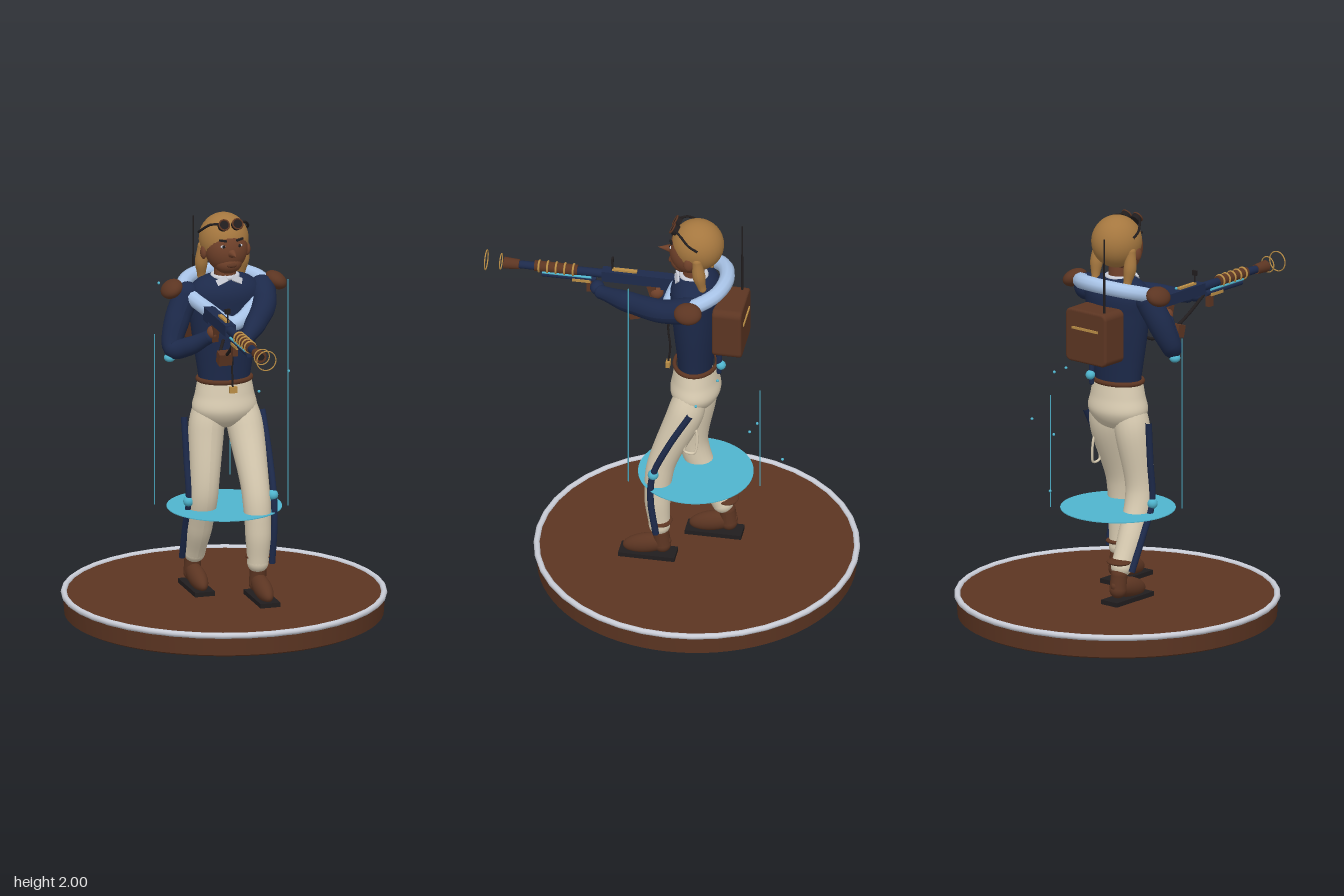
import * as THREE from 'three';

const mat = (name, color, side = THREE.FrontSide) => {
  const m = new THREE.MeshStandardMaterial({ color, side });
  m.name = name;
  return m;
};
const V = (p) => new THREE.Vector3(...p);

export function createModel() {
  const model = new THREE.Group();
  const brown = mat('leather brown', 0x5c3522), skin = mat('skin', 0x70412a), hairTan = mat('hair tan', 0xa5773f);
  const navy = mat('navy', 0x1d2a4b), cream = mat('cream', 0xd9ccb2), paleBlue = mat('pale blue', 0xa9c4e8);
  const cyan = mat('cyan', 0x4fb4cd, THREE.DoubleSide), dark = mat('near black', 0x211d1e);
  const gold = mat('brass', 0xb98d45), silver = mat('silver', 0xc9ccd6);

  const add = (name, geo, m, p = [0, 0, 0], r = [0, 0, 0], s = [1, 1, 1]) => {
    const mesh = new THREE.Mesh(geo, m);
    mesh.name = name;
    mesh.position.set(...p);
    mesh.rotation.set(...r);
    mesh.scale.set(...s);
    model.add(mesh);
    return mesh;
  };
  const ball = (name, m, p, s, r) => add(name, new THREE.SphereGeometry(1, 28, 20), m, p, r, s);
  const box = (name, m, p, s, r) => add(name, new THREE.BoxGeometry(...s), m, p, r);
  const ring = (name, m, p, radius, tube, r, s) => add(name, new THREE.TorusGeometry(radius, tube, 10, 40), m, p, r, s);
  // rod along z
  const rodZ = (name, m, x, y, z0, z1, r0, r1 = r0) =>
    add(name, new THREE.CylinderGeometry(r1, r0, z1 - z0, 20), m, [x, y, (z0 + z1) / 2], [Math.PI / 2, 0, 0]);
  const cord = (name, m, pts, r, closed = false) =>
    add(name, new THREE.TubeGeometry(new THREE.CatmullRomCurve3(pts.map(V), closed), 48, r, 10, closed), m);
  // tapering tube through points [x, y, z, radius], with round ends
  const limb = (name, m, pts) => {
    const curve = new THREE.CatmullRomCurve3(pts.map((p) => V(p.slice(0, 3))));
    const N = 32, R = 20, geo = new THREE.TubeGeometry(curve, N, 1, R);
    const pos = geo.attributes.position, v = new THREE.Vector3();
    for (let i = 0; i <= N; i++) {
      const c = curve.getPointAt(i / N), t = curve.getUtoTmapping(i / N) * (pts.length - 1);
      const k = Math.min(Math.floor(t), pts.length - 2);
      const f = THREE.MathUtils.smoothstep(t - k, 0, 1);
      const rad = THREE.MathUtils.lerp(pts[k][3], pts[k + 1][3], f);
      for (let j = 0; j <= R; j++) {
        const n = i * (R + 1) + j;
        v.fromBufferAttribute(pos, n).sub(c).multiplyScalar(rad).add(c);
        pos.setXYZ(n, v.x, v.y, v.z);
      }
    }
    geo.computeVertexNormals();
    add(name, geo, m);
    for (const p of [pts[0], pts[pts.length - 1]]) ball(name + 'End', m, p.slice(0, 3), [p[3], p[3], p[3]]);
  };
  // lathe squashed in depth
  const body = (name, m, prof, z, depth) =>
    add(name, new THREE.LatheGeometry(new THREE.SplineCurve(prof.map((p) => new THREE.Vector2(...p))).getPoints(30), 36), m, [0, 0, z], [0, 0, 0], [1, 1, depth]);

  // display base and floating disc
  add('base', new THREE.CylinderGeometry(0.775, 0.768, 0.1, 80), brown, [0, 0.06, -0.135]);
  add('baseFoot', new THREE.CylinderGeometry(0.768, 0.75, 0.01, 80), brown, [0, 0.005, -0.135]);
  ring('baseRim', silver, [0, 0.108, -0.135], 0.77, 0.015, [Math.PI / 2, 0, 0]);
  add('floatingDisc', new THREE.CylinderGeometry(0.278, 0.278, 0.004, 56), cyan, [0, 0.54, -0.13]);

  // trousers
  body('hips', cream, [[0.001, 0.93], [0.1, 0.96], [0.158, 1.03], [0.145, 1.11], [0.13, 1.19]], -0.13, 0.76);
  limb('leftLeg', cream, [[0.07, 1.1, -0.13, 0.07], [0.093, 0.95, -0.1, 0.087], [0.112, 0.63, 0.02, 0.068], [0.118, 0.45, 0.035, 0.063], [0.12, 0.29, 0.025, 0.052]]);
  limb('rightLeg', cream, [[-0.07, 1.1, -0.13, 0.07], [-0.09, 0.95, -0.13, 0.087], [-0.112, 0.63, -0.1, 0.07], [-0.115, 0.45, -0.16, 0.064], [-0.115, 0.29, -0.24, 0.052]]);

  // leg braces
  cord('leftBrace', navy, [[0.195, 1.0, -0.14], [0.196, 0.8, -0.03], [0.194, 0.62, 0.045], [0.194, 0.48, 0.055], [0.19, 0.28, 0.03]], 0.016);
  cord('rightBrace', navy, [[-0.2, 1.0, -0.14], [-0.194, 0.8, -0.12], [-0.188, 0.59, -0.1], [-0.186, 0.45, -0.16], [-0.178, 0.27, -0.24]], 0.016);
  ball('leftKneeJoint', cyan, [0.19, 0.625, 0.043], [0.026, 0.026, 0.026]);
  ball('rightKneeJoint', cyan, [-0.19, 0.587, -0.1], [0.026, 0.026, 0.026]);
  cord('sideLoop', cream, [[0.13, 0.87, -0.155], [0.14, 0.75, -0.1], [0.14, 0.745, -0.15]], 0.006, true);

  // boots
  for (const [side, x, z] of [['left', 0.123, 0], ['right', -0.118, -0.28]]) {
    box(side + 'Sole', dark, [x, 0.124, z + 0.08], [0.1, 0.022, 0.275]);
    ball(side + 'Foot', brown, [x, 0.178, z + 0.085], [0.044, 0.05, 0.122], [0.24, 0, 0]);
    limb(side + 'Ankle', brown, [[x, 0.18, z + 0.01, 0.042], [x, 0.25, z + 0.018, 0.04]]);
    ball(side + 'AnkleBand', brown, [x, 0.317, z + 0.015], [0.062, 0.015, 0.053]);
  }

  // jacket, belt and front cord
  body('jacket', navy, [[0.125, 1.17], [0.135, 1.24], [0.16, 1.4], [0.175, 1.53], [0.18, 1.62], [0.13, 1.68], [0.05, 1.705], [0.001, 1.71]], -0.13, 0.66);
  ring('belt', brown, [0, 1.182, -0.13], 0.13, 0.012, [Math.PI / 2, 0, 0], [1, 0.78, 1]);
  cord('frontCord', dark, [[0, 1.5, -0.005], [0, 1.36, 0.005], [0, 1.25, -0.005], [0, 1.165, 0.005]], 0.005);
  box('buckle', gold, [0.002, 1.155, 0.005], [0.038, 0.03, 0.02]);
  cord('scarf', paleBlue, [[-0.2, 1.64, -0.15], [-0.13, 1.57, -0.04], [0, 1.485, 0.005], [0.13, 1.57, -0.04], [0.2, 1.64, -0.15], [0.13, 1.67, -0.245], [0, 1.68, -0.28], [-0.13, 1.67, -0.245]], 0.037, true);

  // head and hair
  add('neck', new THREE.CylinderGeometry(0.05, 0.055, 0.12, 20), skin, [0, 1.71, -0.12]);
  ring('collar', silver, [0, 1.695, -0.12], 0.06, 0.012, [Math.PI / 2, 0, 0]);
  ball('face', skin, [0, 1.84, -0.1], [0.104, 0.122, 0.098]);
  ball('jaw', skin, [0, 1.775, -0.075], [0.07, 0.058, 0.068]);
  add('nose', new THREE.ConeGeometry(0.024, 0.07, 12), skin, [0, 1.832, 0.02], [Math.PI / 2, 0, 0]);
  ball('lips', brown, [0, 1.772, -0.008], [0.026, 0.01, 0.01]);
  ball('hair', hairTan, [0, 1.873, -0.14], [0.12, 0.128, 0.127]);
  for (const s of [1, -1]) {
    limb('hairLock', hairTan, [[s * 0.102, 1.84, -0.155, 0.024], [s * 0.105, 1.76, -0.165, 0.031], [s * 0.1, 1.685, -0.18, 0.02]]);
    ball('ear', skin, [s * 0.11, 1.82, -0.115], [0.015, 0.033, 0.024]);
    ball('eyeWhite', silver, [s * 0.04, 1.868, -0.016], [0.015, 0.008, 0.006]);
    ball('pupil', dark, [s * 0.04, 1.868, -0.011], [0.007, 0.008, 0.004]);
    box('brow', dark, [s * 0.042, 1.897, -0.017], [0.038, 0.009, 0.01], [0, s * 0.3, s * 0.15]);
    box('collarFlap', silver, [s * 0.038, 1.69, -0.045], [0.055, 0.03, 0.01], [-0.4, s * 0.4, s * -0.35]);
    // goggles
    add('goggleLens', new THREE.CylinderGeometry(0.026, 0.026, 0.028, 20), dark, [s * 0.034, 1.968, -0.035], [1.05, 0, 0]);
    ring('goggleRim', brown, [s * 0.034, 1.974, -0.023], 0.025, 0.004, [-0.5, 0, 0]);
    cord('goggleStrap', dark, [[s * 0.055, 1.975, -0.04], [s * 0.09, 1.965, -0.075], [s * 0.115, 1.935, -0.115], [s * 0.12, 1.91, -0.16]], 0.006);
    // shoulder guards
    ball('shoulderGuard', brown, [s * 0.262, 1.643, -0.14], [0.056, 0.04, 0.068], [0, 0, s * -0.6]);
  }

  // arms
  limb('leftArm', navy, [[0.19, 1.61, -0.13, 0.066], [0.16, 1.57, 0.0, 0.058], [0.06, 1.53, 0.18, 0.052], [-0.04, 1.5, 0.34, 0.034]]);
  ball('leftHand', navy, [-0.07, 1.505, 0.365], [0.04, 0.033, 0.035]);
  limb('rightArm', navy, [[-0.19, 1.61, -0.13, 0.065], [-0.24, 1.51, -0.11, 0.062], [-0.282, 1.37, -0.06, 0.048], [-0.22, 1.39, 0.0, 0.045], [-0.14, 1.45, 0.07, 0.034]]);
  ball('rightHand', skin, [-0.125, 1.475, 0.085], [0.03, 0.034, 0.034]);
  ball('elbowJoint', cyan, [-0.298, 1.325, -0.06], [0.027, 0.022, 0.027]);

  // long gun
  const gx = -0.12, gy = 1.555;
  rodZ('barrel', navy, gx, gy, 0.3, 0.77, 0.022, 0.019);
  rodZ('muzzle', brown, gx, gy, 0.755, 0.83, 0.024, 0.029);
  rodZ('muzzleBore', dark, gx, gy, 0.827, 0.833, 0.017);
  box('receiver', navy, [gx, 1.553, 0.18], [0.052, 0.056, 0.34]);
  box('stock', navy, [gx, 1.545, 0.02], [0.045, 0.07, 0.08]);
  rodZ('underBarrel', navy, gx, 1.516, 0.38, 0.645, 0.014);
  for (const s of [1, -1]) rodZ('energyTube', cyan, gx + s * 0.018, 1.535, 0.4, 0.64, 0.006);
  rodZ('coilSleeve', brown, gx, gy + 0.003, 0.47, 0.68, 0.026);
  for (let i = 0; i < 5; i++) ring('coil', gold, [gx, gy + 0.003, 0.49 + i * 0.042], 0.027, 0.005);
  ring('frontRing', gold, [gx, 1.56, 0.917], 0.048, 0.003);
  ring('rearRing', gold, [gx, 1.56, 0.845], 0.038, 0.003);
  box('foreGrip', brown, [gx, 1.485, 0.41], [0.024, 0.075, 0.03]);
  box('brassBracket', gold, [gx, 1.508, 0.45], [0.036, 0.014, 0.09]);
  box('sightRail', gold, [gx, 1.585, 0.24], [0.02, 0.012, 0.12]);
  add('sightPost', new THREE.CylinderGeometry(0.004, 0.004, 0.07, 8), dark, [gx, 1.615, 0.3]);
  box('sight', dark, [gx, 1.638, 0.3], [0.026, 0.025, 0.01]);
  box('triggerGrip', brown, [gx, 1.48, 0.1], [0.03, 0.09, 0.04], [0.3, 0, 0]);
  cord('sling', dark, [[gx + 0.01, 1.51, 0.38], [-0.1, 1.43, 0.27], [-0.09, 1.37, 0.15], [-0.07, 1.36, 0.03], [-0.04, 1.4, -0.02]], 0.008);
  box('slingPouch', brown, [-0.1, 1.373, 0.187], [0.065, 0.06, 0.05], [0.25, 0, 0]);

  // backpack, aerial and hanging canister
  const w = 0.115, h = 0.12, sh = new THREE.Shape();
  sh.absarc(w - 0.02, h - 0.02, 0.02, 0, Math.PI / 2);
  sh.absarc(-w + 0.02, h - 0.02, 0.02, Math.PI / 2, Math.PI);
  sh.absarc(-w + 0.02, -h + 0.02, 0.02, Math.PI, Math.PI * 1.5);
  sh.absarc(w - 0.02, -h + 0.02, 0.02, Math.PI * 1.5, Math.PI * 2);
  add('backpack', new THREE.ExtrudeGeometry(sh, { depth: 0.12, bevelSize: 0.012, bevelThickness: 0.012, bevelSegments: 4 }), brown, [0, 1.44, -0.363]);
  box('backpackZip', gold, [0, 1.48, -0.377], [0.16, 0.012, 0.008]);
  add('aerial', new THREE.CylinderGeometry(0.004, 0.006, 0.38, 8), dark, [-0.09, 1.75, -0.34]);
  limb('canister', navy, [[0.06, 1.18, -0.255, 0.012], [0.06, 1.31, -0.255, 0.014]]);
  ball('canisterLight', cyan, [0.06, 1.22, -0.265], [0.023, 0.023, 0.023]);

  // floating light lines and sparks
  for (const [x, y0, y1, z, m] of [[0.23, 0.6, 1.73, 0.157, cyan], [-0.365, 0.59, 1.44, -0.085, cyan], [0.137, 0.59, 1.15, -0.47, cyan]])
    add('lightLine', new THREE.CylinderGeometry(0.0025, 0.0025, y1 - y0, 6), m, [x, (y0 + y1) / 2, z]);
  for (const p of [[0.06, 0.705, -0.565], [0.275, 1.0, -0.445], [0.345, 1.165, -0.195], [0.205, 1.23, -0.275], [-0.34, 1.69, -0.1], [0.13, 0.95, -0.455]])
    ball('spark', cyan, p, [0.007, 0.007, 0.007]);

  return model;
}
